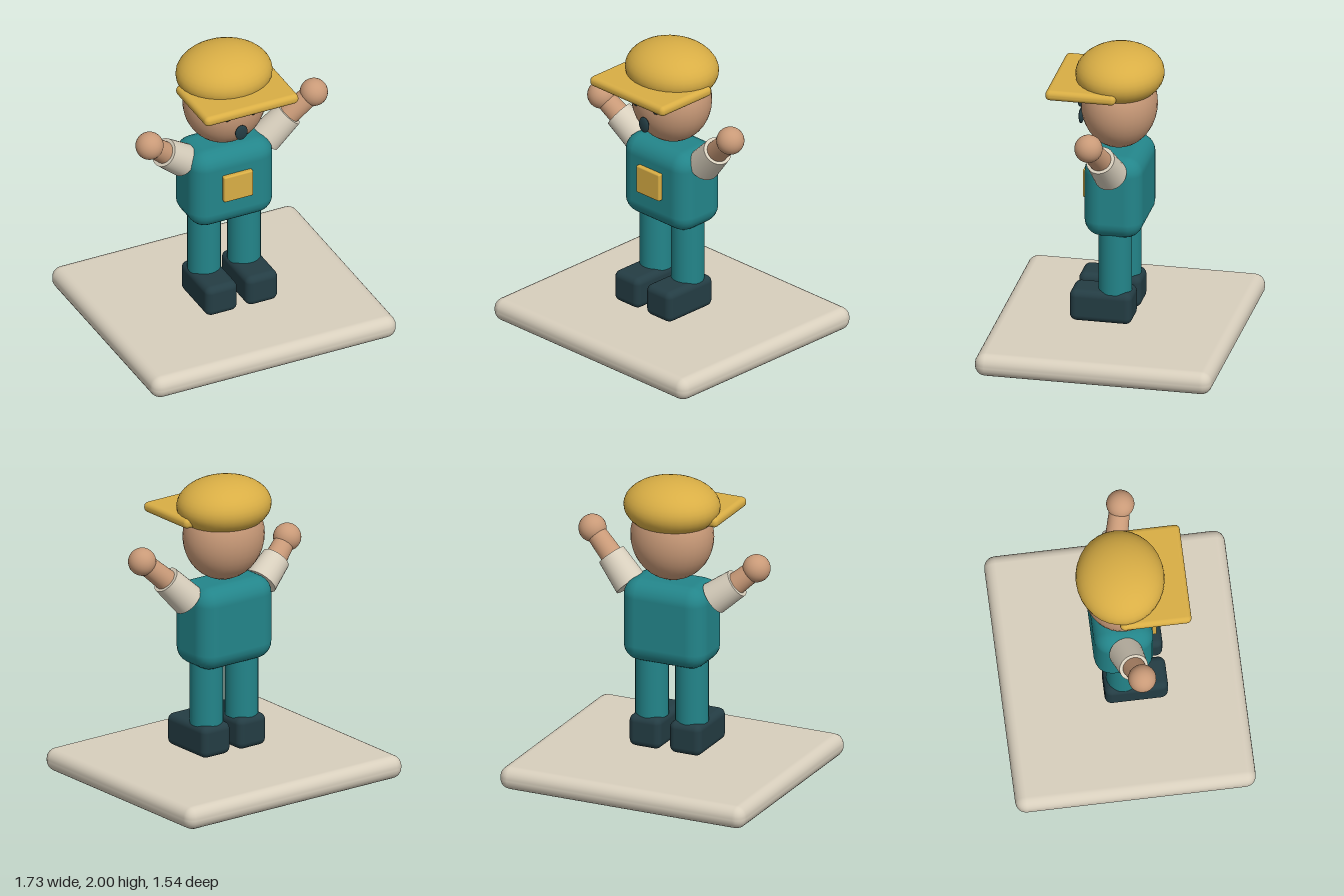
import * as THREE from 'three';
import { RoundedBoxGeometry } from 'three/addons/geometries/RoundedBoxGeometry.js';

function material(name, color) {
  const m = new THREE.MeshStandardMaterial({ color });
  m.name = name;
  return m;
}

export function createModel() {
  const cream = material('cream', 0xd8cfbd);
  const teal = material('teal', 0x23858a);
  const yellow = material('yellow', 0xd9ae45);
  const skin = material('skin', 0xc99a78);
  const dark = material('dark slate', 0x243d44);

  const model = new THREE.Group();
  model.name = 'wavingFigure';

  function add(name, geometry, mat, x, y, z, parent = model) {
    const mesh = new THREE.Mesh(geometry, mat);
    mesh.name = name;
    mesh.position.set(x, y, z);
    parent.add(mesh);
    return mesh;
  }

  // Box with rounded edges, given by its extents
  function box(name, mat, [x0, x1], [y0, y1], [z0, z1], radius) {
    const geometry = new RoundedBoxGeometry(x1 - x0, y1 - y0, z1 - z0, 3, radius);
    return add(name, geometry, mat, (x0 + x1) / 2, (y0 + y1) / 2, (z0 + z1) / 2);
  }

  function ellipsoid(name, mat, x, y, z, rx, ry, rz) {
    const mesh = add(name, new THREE.SphereGeometry(1, 32, 20), mat, x, y, z);
    mesh.scale.set(rx, ry, rz);
    return mesh;
  }

  // Tapered cylinder running from point a to point b
  function limb(name, mat, a, b, ra, rb, parent) {
    const dir = b.clone().sub(a);
    const mid = a.clone().add(b).multiplyScalar(0.5);
    const geometry = new THREE.CylinderGeometry(rb, ra, dir.length(), 28);
    const mesh = add(name, geometry, mat, mid.x, mid.y, mid.z, parent);
    mesh.quaternion.setFromUnitVectors(new THREE.Vector3(0, 1, 0), dir.normalize());
  }

  // Base slab and body
  box('base', cream, [-0.865, 0.865], [0, 0.152], [-0.77, 0.77], 0.07);
  box('torso', teal, [-0.292, 0.292], [0.77, 1.325], [-0.19, 0.19], 0.115);
  box('chestPocket', yellow, [-0.105, 0.102], [0.98, 1.168], [0.185, 0.222], 0.01);

  // Legs and shoes
  for (const [side, s] of [['left', 1], ['right', -1]]) {
    add(side + 'Leg', new THREE.CylinderGeometry(0.107, 0.107, 0.47, 28), teal, s * 0.141, 0.615, 0);
    const shoe = box(side + 'Shoe', dark, [0.03, 0.255], [0.18, 0.393], [-0.125, 0.28], 0.045);
    shoe.position.x *= s;
  }

  // Head and face
  ellipsoid('head', skin, 0, 1.613, 0.004, 0.272, 0.29, 0.244);
  ellipsoid('leftEye', dark, 0.09, 1.635, 0.237, 0.028, 0.033, 0.016);
  ellipsoid('rightEye', dark, -0.09, 1.635, 0.237, 0.028, 0.033, 0.016);
  ellipsoid('mouth', dark, 0, 1.502, 0.251, 0.043, 0.053, 0.016);

  // Cap
  ellipsoid('capCrown', yellow, 0, 1.82, 0, 0.315, 0.18, 0.283);
  box('capBrim', yellow, [-0.332, 0.332], [1.722, 1.79], [-0.037, 0.42], 0.031);

  // Raised arms: sleeve, forearm and round hand
  function arm(side, shoulder, elbow, hand) {
    const group = new THREE.Group();
    group.name = side + 'Arm';
    model.add(group);
    const [a, b, c] = [shoulder, elbow, hand].map((p) => new THREE.Vector3(...p));
    limb('sleeve', cream, a, b, 0.108, 0.094, group);
    limb('forearm', skin, b.clone().lerp(a, 0.1), c, 0.073, 0.065, group);
    add('hand', new THREE.SphereGeometry(0.09, 28, 18), skin, c.x, c.y, c.z, group);
  }
  arm('left', [0.29, 1.235, 0.0], [0.442, 1.395, 0.033], [0.598, 1.538, 0.076]);
  arm('right', [-0.295, 1.235, 0.0], [-0.443, 1.35, 0.033], [-0.562, 1.458, 0.072]);

  return model;
}
